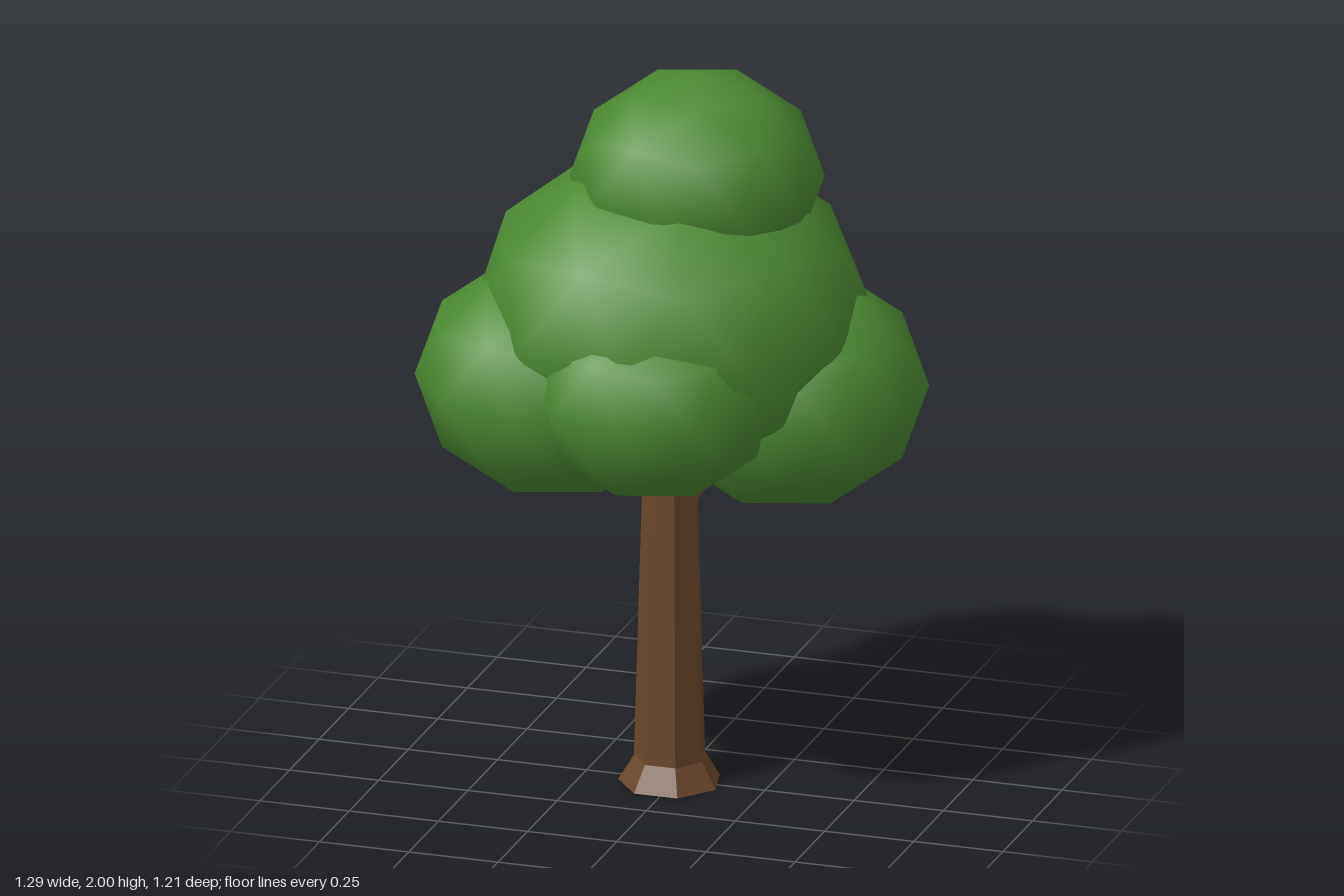
import * as THREE from 'three';

const leafMaterial = new THREE.MeshStandardMaterial({ color: 0x4c8a33 });
const barkMaterial = new THREE.MeshStandardMaterial({ color: 0x6b472b, flatShading: true });

// Smooth low-poly ball, turned so that one corner points straight up
function makeLeafBall() {
  const ball = new THREE.IcosahedronGeometry(1, 1);
  ball.rotateZ(-Math.atan(2 / (1 + Math.sqrt(5))));
  return ball;
}

// Tapered limb between two points
function makeBranch(name, from, to) {
  const a = new THREE.Vector3(...from);
  const b = new THREE.Vector3(...to);
  const dir = b.clone().sub(a);
  const branch = new THREE.Mesh(new THREE.CylinderGeometry(0.02, 0.035, dir.length(), 5), barkMaterial);
  branch.name = name;
  branch.position.copy(a).add(b).multiplyScalar(0.5);
  branch.quaternion.setFromUnitVectors(new THREE.Vector3(0, 1, 0), dir.normalize());
  return branch;
}

export function createModel() {
  const tree = new THREE.Group();
  tree.name = 'tree';

  // Seven-sided trunk with a flared foot
  const profile = [[0, 0], [0.14, 0], [0.098, 0.07], [0.075, 0.87], [0.068, 1.15], [0, 1.15]];
  const trunk = new THREE.Mesh(
    new THREE.LatheGeometry(profile.map(([r, y]) => new THREE.Vector2(r, y)), 7),
    barkMaterial
  );
  trunk.name = 'trunk';
  trunk.position.set(-0.012, 0, 0.008);
  trunk.rotation.y = Math.PI;
  tree.add(trunk);

  // Branches reaching into the foliage
  tree.add(makeBranch('leftBranch', [0.02, 0.8, 0], [0.24, 1.1, -0.07]));
  tree.add(makeBranch('backBranch', [-0.02, 0.8, -0.02], [-0.08, 1.15, -0.22]));

  // Foliage clumps: name, centre, radius, turn; all slightly squashed in height
  const clumps = [
    ['mainFoliage', [-0.012, 1.33, 0], 0.535, 0.07],
    ['topFoliage', [0.05, 1.71, -0.03], 0.34, 0],
    ['rightFoliage', [-0.288, 1.165, 0.132], 0.38, 0],
    ['leftFoliage', [0.284, 1.125, -0.08], 0.38, 0],
    ['frontFoliage', [0.03, 1.2, 0.26], 0.34, 0],
    ['backFoliage', [-0.1, 1.28, -0.245], 0.36, 0],
  ];
  const ball = makeLeafBall();
  for (const [name, centre, radius, turn] of clumps) {
    const clump = new THREE.Mesh(ball, leafMaterial);
    clump.name = name;
    clump.position.set(...centre);
    clump.scale.set(radius, radius * 0.853, radius);
    clump.rotation.y = turn;
    tree.add(clump);
  }
  return tree;
}
